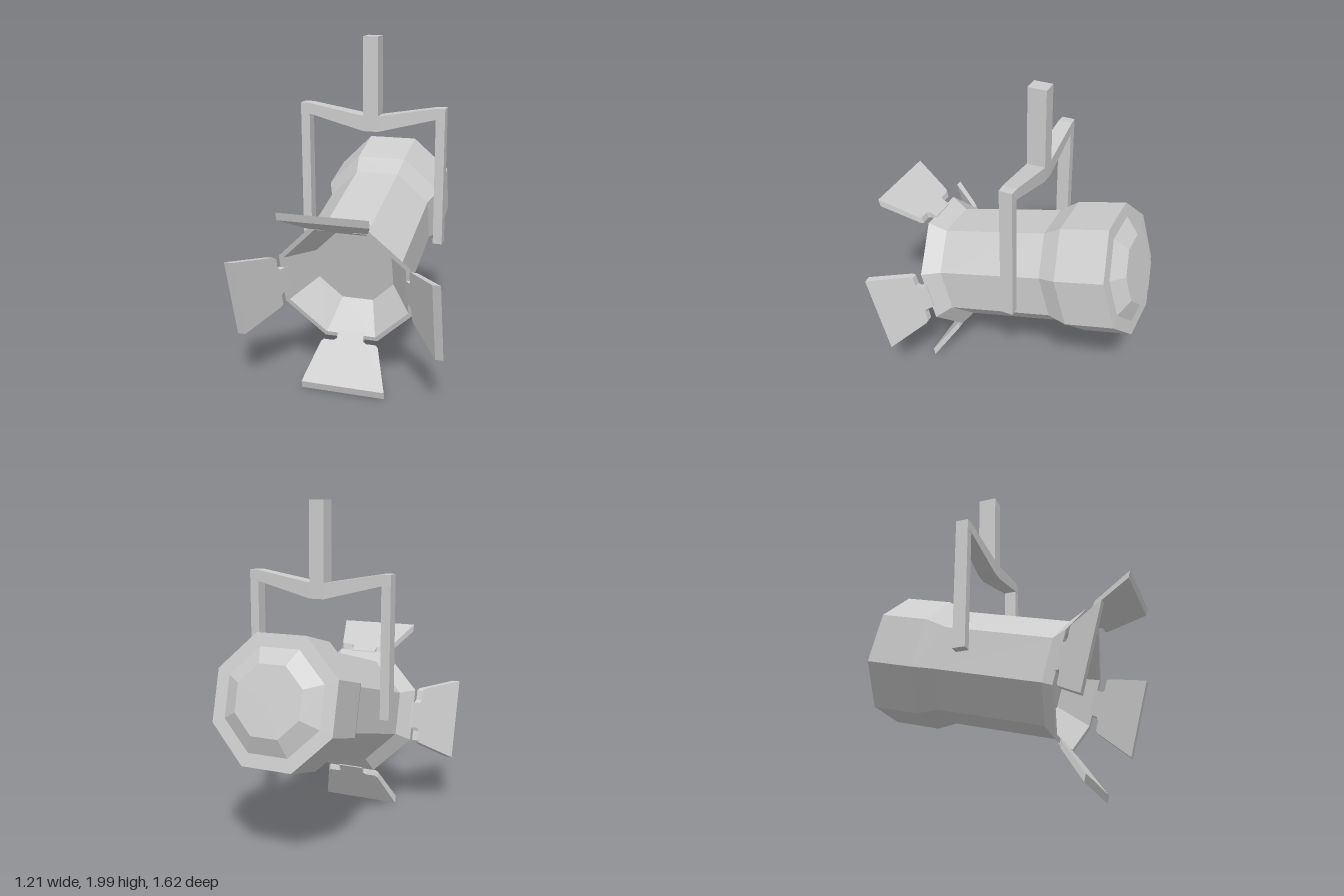
import * as THREE from 'three';

const material = new THREE.MeshStandardMaterial({ color: 0xcccccc, flatShading: true });

function part(name, geometry, parent) {
  const mesh = new THREE.Mesh(geometry, material);
  mesh.name = name;
  parent.add(mesh);
  return mesh;
}

// Move every vertex of a geometry by a rule
function reshape(geometry, rule) {
  const p = geometry.attributes.position;
  for (let i = 0; i < p.count; i++) p.setXYZ(i, ...rule(p.getX(i), p.getY(i), p.getZ(i)));
  geometry.computeVertexNormals();
  return geometry;
}

// Octagonal housing: [distance from axis to flat, position along axis], back to front
function housingGeometry() {
  const profile = [
    [0, -1.14], [0.192, -1.14], [0.285, -1.08], [0.36, -1.078], // domed rear cap
    [0.36, -0.782], [0.315, -0.665], [0.315, 0],                // stepped barrel
    [0.385, 0.09], [0.358, 0.09],                               // flared rim
    [0.228, -0.09], [0, -0.09],                                 // reflector and lens
  ];
  const points = profile.map(([r, a]) => new THREE.Vector2(r / Math.cos(Math.PI / 8), a));
  return new THREE.LatheGeometry(points, 8, Math.PI / 8).rotateX(Math.PI / 2);
}

// Flap with a narrow neck, leaning outward and forward from the rim
function flapGeometry() {
  const half = [[0.08, -0.02], [0.08, 0.13], [0.1, 0.17], [0.16, 0.17], [0.175, 0.22], [0.25, 1]];
  const outline = [...half, ...half.map(([w, t]) => [-w, t]).reverse()];
  const shape = new THREE.Shape(outline.map(([w, t]) => new THREE.Vector2(w, t)));
  const geometry = new THREE.ExtrudeGeometry(shape, { depth: 1, bevelEnabled: false });
  return reshape(geometry, (w, t, k) => {
    const inner = 0.352 + 0.205 * t;
    const outer = 0.388 + 0.215 * t;
    return [w, THREE.MathUtils.lerp(outer, inner, k), 0.085 + 0.241 * t];
  });
}

// Shallow V crossbar: columns of [x, bottom y, top y, half depth]
function crossbarGeometry() {
  const columns = [[0.045, 1.443, 1.535, 0.055], [0.39, 1.53, 1.595, 0.041], [0.445, 1.53, 1.595, 0.038]];
  return reshape(new THREE.BoxGeometry(5, 1, 1, 5, 1, 1), (x, y, z) => {
    const [cx, low, high, depth] = columns[Math.round(Math.abs(x) - 0.5)];
    return [Math.sign(x) * cx, y < 0 ? low : high, Math.sign(z) * depth];
  });
}

export function createModel() {
  const model = new THREE.Group();
  model.name = 'stageSpotlight';

  // Tilted lamp head, origin at the front end of the barrel
  const head = new THREE.Group();
  head.name = 'lampHead';
  head.position.set(0, 0.677, 0.34);
  head.rotation.x = THREE.MathUtils.degToRad(15);
  model.add(head);
  part('housing', housingGeometry(), head);

  const flap = flapGeometry();
  ['topFlap', 'rightFlap', 'bottomFlap', 'leftFlap'].forEach((name, i) => {
    part(name, flap, head).rotation.z = i * Math.PI / 2;
  });

  // Hanging yoke
  const yoke = new THREE.Group();
  yoke.name = 'yoke';
  yoke.position.z = -0.128;
  model.add(yoke);
  part('stem', new THREE.BoxGeometry(0.09, 0.465, 0.11), yoke).position.y = 1.7675;
  part('crossbar', crossbarGeometry(), yoke);
  for (const [name, side] of [['leftArm', 1], ['rightArm', -1]]) {
    part(name, new THREE.BoxGeometry(0.055, 0.76, 0.076), yoke).position.set(side * 0.4175, 1.15, 0);
  }

  return model;
}
